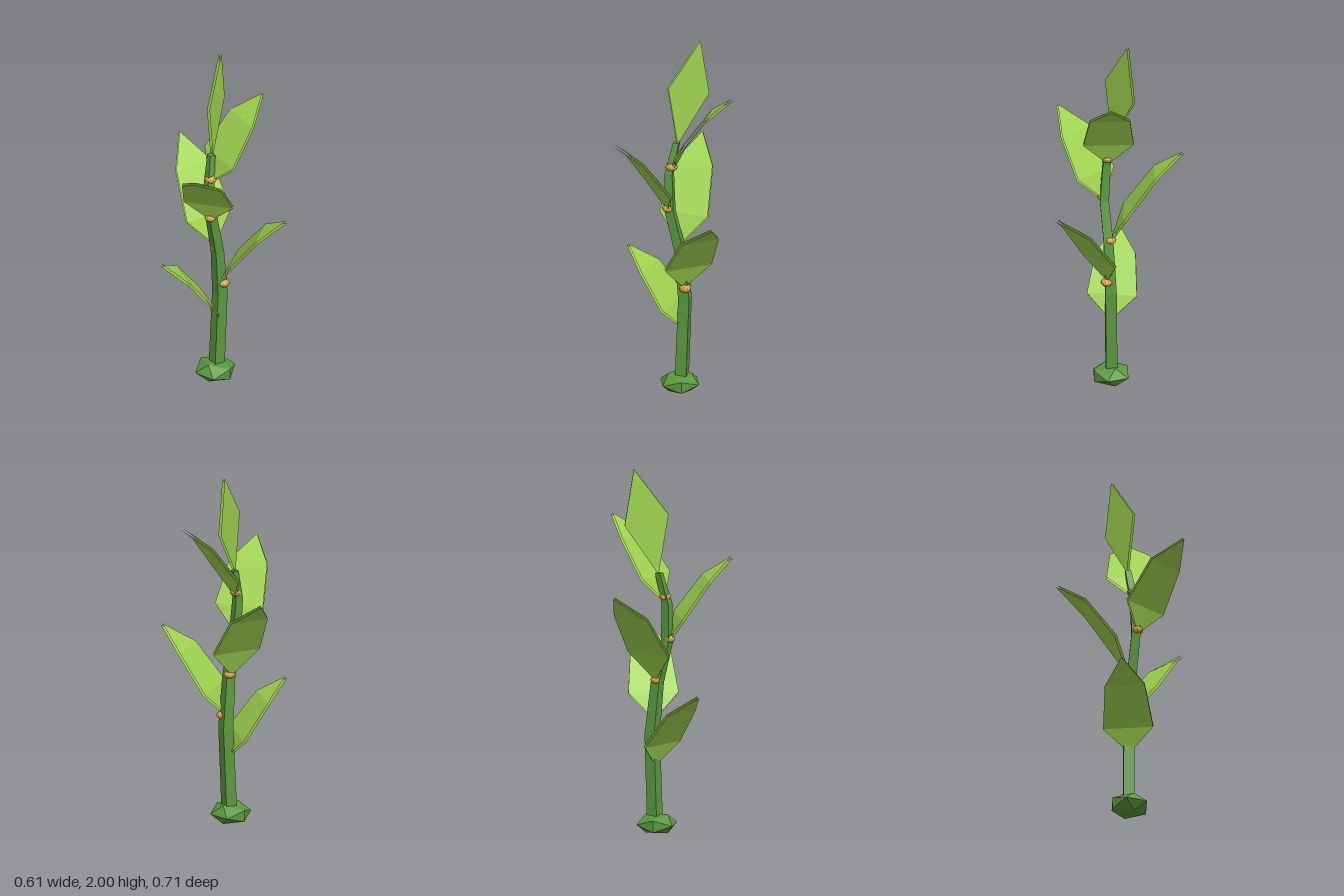
import * as THREE from 'three';

export function createModel() {
  const model = new THREE.Group();
  const material = (name, color) => {
    const m = new THREE.MeshStandardMaterial({ color });
    m.name = name;
    return m;
  };
  const leafGreen = material('leaf green', 0x9fd350);
  leafGreen.side = THREE.DoubleSide;
  const stemGreen = material('stem green', 0x5b9840);
  const amber = material('node amber', 0xd2a440);

  const V = (x, y, z) => new THREE.Vector3(x, y, z);
  const add = (name, geometry, mat, parent = model) => {
    const mesh = new THREE.Mesh(geometry, mat);
    mesh.name = name;
    parent.add(mesh);
    return mesh;
  };
  const faceted = (geometry) => {
    const g = geometry.index ? geometry.toNonIndexed() : geometry;
    g.computeVertexNormals();
    return g;
  };

  // Two facing skins with a narrow gap and open edges
  function blade(points, faces, normal) {
    const gap = normal.clone().setLength(0.007);
    const pos = [];
    for (const side of [1, -1]) {
      for (const f of faces) {
        const order = side > 0 ? f : [f[0], f[2], f[1]];
        for (const i of order) {
          pos.push(...points[i].clone().addScaledVector(gap, side).toArray());
        }
      }
    }
    const g = new THREE.BufferGeometry();
    g.setAttribute('position', new THREE.Float32BufferAttribute(pos, 3));
    g.computeVertexNormals();
    return g;
  }

  // Root bulb
  const bulb = new THREE.IcosahedronGeometry(0.115, 0);
  bulb.rotateY(0.35);
  bulb.scale(1, 0.53, 1);
  add('rootBulb', faceted(bulb), stemGreen).position.set(0.005, 0.052, 0.042);

  // Square stem: cylinder rings moved onto a bent, tapering centre line (x, y, z, half width)
  const stemPath = [
    [0.016, 0.08, 0.04, 0.031], [0.034, 0.54, 0.043, 0.03], [0.01, 0.82, 0.055, 0.026],
    [-0.04, 1.05, 0.075, 0.024], [-0.048, 1.26, 0.062, 0.021], [-0.015, 1.43, 0.033, 0.016],
  ];
  const rings = stemPath.length - 1;
  const stem = new THREE.CylinderGeometry(Math.SQRT2, Math.SQRT2, 1, 4, rings, false, Math.PI / 4);
  const p = stem.attributes.position;
  for (let i = 0; i < p.count; i++) {
    const [x, y, z, r] = stemPath[Math.round((p.getY(i) + 0.5) * rings)];
    p.setXYZ(i, x + p.getX(i) * r, y, z + p.getZ(i) * r);
  }
  add('stem', faceted(stem), stemGreen);

  // Side leaves, each from base to tip; all but the lowest have an amber node
  const leaves = [
    { base: V(0.02, 0.37, 0.045), tip: V(-0.3, 0.79, -0.02) },
    { base: V(0.03, 0.61, 0.06), tip: V(0.26, 1.07, 0.35), node: V(0.042, 0.605, 0.067) },
    { base: V(0.005, 0.84, 0.035), tip: V(0.03, 1.352, -0.347), node: V(0.01, 0.838, 0.046) },
    { base: V(-0.045, 1.05, 0.08), tip: V(-0.303, 1.5, 0.314), node: V(-0.05, 1.065, 0.08) },
    { base: V(-0.035, 1.27, 0.056), tip: V(0.302, 1.718, 0.056), node: V(-0.036, 1.297, 0.06) },
  ];
  const leafFaces = [[0, 2, 1], [1, 2, 3], [2, 4, 3], [3, 4, 5]];
  for (const { base, tip, node } of leaves) {
    const span = tip.clone().sub(base);
    const reach = V(span.x, 0, span.z);
    const across = V(-span.z, 0, span.x).normalize();
    const at = (out, up, side) => base.clone().addScaledVector(reach, out)
      .add(V(0, span.y * up, 0)).addScaledVector(across, side);
    const points = [
      base, at(0.17, 0.3, -0.136), at(0.17, 0.3, 0.136),
      at(0.6, 0.75, -0.108), at(0.6, 0.75, 0.108), tip,
    ];
    const leaf = new THREE.Group();
    leaf.name = 'leaf';
    model.add(leaf);
    add('leafBlade', blade(points, leafFaces, across.clone().cross(span)), leafGreen, leaf);
    if (node) {
      const knot = new THREE.IcosahedronGeometry(0.033, 1);
      knot.scale(1, 0.72, 1);
      add('leafNode', faceted(knot), amber, leaf).position.copy(node);
    }
  }

  // Upright leaf at the top of the stem
  const top = [V(-0.012, 1.42, 0.033), V(-0.055, 1.75, 0.065), V(0.135, 1.69, -0.075), V(0.095, 2, -0.045)];
  add('topLeaf', blade(top, [[0, 2, 1], [1, 2, 3]], V(0.593, 0, 0.805)), leafGreen);

  return model;
}
